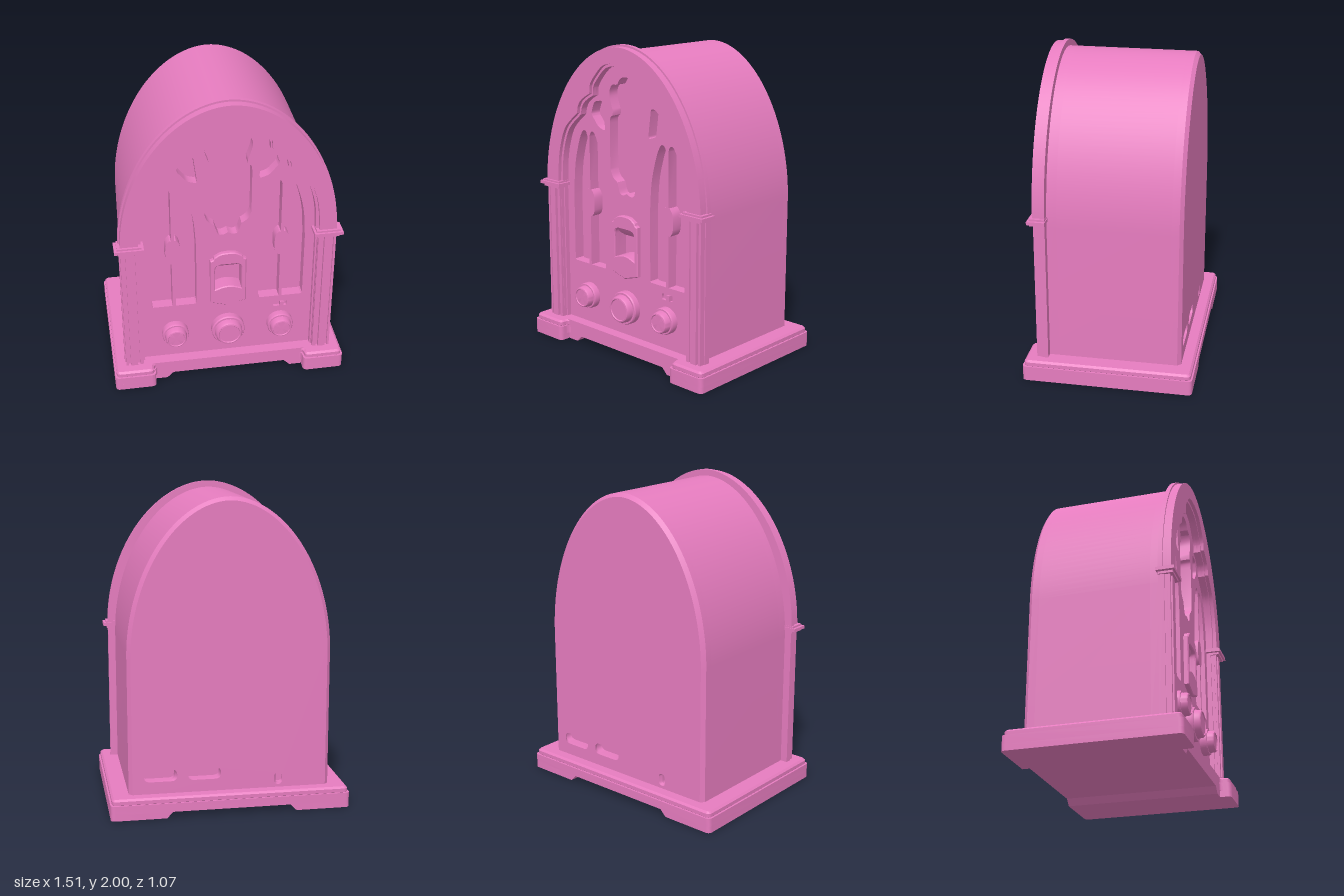
import * as THREE from 'three';
import { toCreasedNormals } from 'three/addons/utils/BufferGeometryUtils.js';

const material = new THREE.MeshStandardMaterial({ color: 0xe67cbf });
const V = (x, y) => new THREE.Vector2(x, y);
const pts = list => list.map(([x, y]) => V(x, y));
const mirror = list => list.map(p => V(-p.x, p.y));
// smooth run through a few points
const smooth = (list, n = 12) => new THREE.SplineCurve(pts(list)).getPoints(n);
// closes a right-hand half outline with its mirror image
const symmetric = half => [...half, ...mirror(half).reverse().filter(p => Math.abs(p.x) > 1e-4)];

// polygon with rounded corners
function rounded(list, r) {
  const p = pts(list), out = [];
  p.forEach((c, i) => {
    const a = p[(i + p.length - 1) % p.length], b = p[(i + 1) % p.length];
    const toward = q => c.clone().add(q.clone().sub(c).setLength(Math.min(r, q.distanceTo(c) * 0.48)));
    out.push(...new THREE.QuadraticBezierCurve(toward(a), c, toward(b)).getPoints(5));
  });
  return out;
}

export function createModel() {
  const root = new THREE.Group();
  const add = (name, geometry) => {
    const m = new THREE.Mesh(geometry, material);
    m.name = name;
    root.add(m);
    return m;
  };
  // outline extruded between two depths, optionally with chamfered edges
  const slab = (name, outline, z0, z1, holes = [], bevel = 0) => {
    const shape = new THREE.Shape(outline);
    shape.holes = holes.map(h => new THREE.Path(h));
    const g = new THREE.ExtrudeGeometry(shape, {
      depth: z1 - z0 - 2 * bevel, bevelEnabled: bevel > 0, bevelThickness: bevel,
      bevelSize: bevel, bevelOffset: -bevel, bevelSegments: 1
    });
    g.translate(0, 0, z0 + bevel);
    return add(name, toCreasedNormals(g, 0.5));
  };
  // floor-plan outline (x, -z) extruded upwards
  const plan = (name, outline, y0, y1, bevel = 0) =>
    slab(name, outline, y0, y1, [], bevel).geometry.rotateX(-Math.PI / 2);
  const box = (name, x0, x1, y0, y1, z0, z1) => {
    const g = new THREE.BoxGeometry(Math.abs(x1 - x0), y1 - y0, z1 - z0);
    add(name, g.translate((x0 + x1) / 2, (y0 + y1) / 2, (z0 + z1) / 2));
  };

  // tall arch from the right spring point over to the left one
  const arch = (w, spring, top, n = 72) => Array.from({ length: n + 1 }, (_, i) => {
    const a = Math.PI * i / n, c = Math.cos(a), e = 2 / 1.92;
    return V(w * Math.sign(c) * Math.abs(c) ** e, spring + (top - spring) * Math.abs(Math.sin(a)) ** e);
  });
  const cabinetOutline = [V(-0.635, 0.1), V(0.635, 0.1), ...arch(0.635, 1.0, 1.96)];

  // stepped base with projecting front feet
  const basePlan = d => rounded([
    [-0.755 + d, 0.535 - d], [-0.755 + d, -0.535 + d], [-0.49 - d, -0.535 + d], [-0.49 - d, -0.46],
    [0.49 + d, -0.46], [0.49 + d, -0.535 + d], [0.755 - d, -0.535 + d], [0.755 - d, 0.535 - d]
  ], 0.03);
  plan('baseSlab', basePlan(0), 0.04, 0.095);
  plan('baseUpperStep', basePlan(0.01), 0.085, 0.132, 0.012);
  box('baseFront', -0.505, 0.505, 0.04, 0.132, 0.3, 0.463);
  for (const s of [1, -1]) {
    plan('baseFoot', rounded([[s * 0.49, 0.535], [s * 0.755, 0.535], [s * 0.755, -0.535], [s * 0.49, -0.535]], 0.03), 0, 0.045);
    slab('baseFootSlope', pts([[s * 0.41, 0], [s * 0.53, 0], [s * 0.53, 0.045], [s * 0.365, 0.045]]), -0.535, 0.463);
  }

  // cabinet, with cable openings in its chamfered back
  const slot = (x0, x1, y0, y1) => rounded([[x0, y0], [x1, y0], [x1, y1], [x0, y1]], Math.min(x1 - x0, y1 - y0) / 2);
  const cableHoles = [slot(0.345, 0.56, 0.21, 0.285), slot(0.06, 0.275, 0.21, 0.285), slot(-0.345, -0.295, 0.15, 0.23)];
  slab('cabinet', cabinetOutline, -0.38, 0.32);
  slab('cabinetRear', cabinetOutline, -0.427, -0.38, cableHoles);
  const back = slab('backPlate', cabinetOutline, -0.45, -0.427, cableHoles);
  const pos = back.geometry.attributes.position;
  for (let i = 0; i < pos.count; i++) {
    if (pos.getZ(i) > -0.44) continue;
    pos.setXY(i, pos.getX(i) * 0.965, 0.1 + (pos.getY(i) - 0.1) * 0.988);
  }
  back.geometry = toCreasedNormals(back.geometry, 0.5);

  // grille openings in the front panel
  const centre = symmetric([
    ...smooth([[0, 1.8], [0.045, 1.79], [0.075, 1.75]], 6),
    ...smooth([[0.09, 1.745], [0.125, 1.74], [0.147, 1.69], [0.135, 1.63], [0.117, 1.58]], 12),
    ...smooth([[0.12, 1.55], [0.14, 1.535], [0.146, 1.5]], 5),
    ...smooth([[0.146, 1.21], [0.125, 1.16], [0.085, 1.13]], 6),
    ...smooth([[0.075, 1.1], [0.06, 1.062], [0.03, 1.055], [0, 1.07]], 8)
  ]);
  const outerSlot = [
    V(0.355, 0.535), V(0.482, 0.535), V(0.49, 0.543),
    ...smooth([[0.49, 0.98], [0.475, 1.18], [0.435, 1.34], [0.4, 1.415], [0.37, 1.42], [0.355, 1.39]], 18),
    V(0.355, 1.04), ...smooth([[0.365, 1.04], [0.39, 1.0], [0.39, 0.9], [0.365, 0.865]], 8), V(0.355, 0.865)
  ];
  const innerSlot = outerSlot.map(p => V(0.69 - p.x, p.y));
  const petal = rounded([[0.212, 1.635], [0.285, 1.62], [0.315, 1.54], [0.25, 1.462], [0.187, 1.443]], 0.022);
  const windowHole = [
    ...smooth([[-0.085, 0.65], [-0.04, 0.667], [0, 0.672], [0.04, 0.667], [0.085, 0.65]], 10),
    ...smooth([[0.085, 0.8], [0.078, 0.83], [0.05, 0.842]], 5),
    ...smooth([[-0.05, 0.842], [-0.078, 0.83], [-0.085, 0.8]], 5)
  ];
  const switchHole = rounded([[0.3, 0.45], [0.39, 0.45], [0.39, 0.49], [0.3, 0.49]], 0.008);
  const pairs = [outerSlot, innerSlot, petal];
  slab('frontPanel', cabinetOutline, 0.32, 0.39,
    [centre, ...pairs, ...pairs.map(mirror), windowHole, switchHole]);

  // arched frame with a stepped, scalloped inner edge
  const scallop = [
    ...smooth([[0.565, 1.05], [0.555, 1.22], [0.525, 1.35], [0.476, 1.45], [0.37, 1.545]], 16),
    ...smooth([[0.365, 1.58], [0.344, 1.62], [0.3, 1.655], [0.254, 1.68]], 8),
    ...smooth([[0.25, 1.73], [0.228, 1.77], [0.148, 1.855], [0.08, 1.882], [0, 1.89]], 12)
  ];
  const ring = (name, w, top, k, z0, z1) => {
    const inner = scallop.map(p => V(p.x * (1 - k), 1.05 + (p.y - 1.05) * (1 - k * 0.7)));
    slab(name, [...arch(w, 1.05, top), ...mirror(inner), ...inner.slice(0, -1).reverse()], z0, z1);
  };
  ring('frameBackLip', 0.685, 2.0, 0.03, 0.382, 0.41);
  ring('frameStep', 0.675, 1.988, 0.03, 0.41, 0.437);
  ring('frameFront', 0.675, 1.988, 0, 0.437, 0.46);

  // reeded side columns with capitals
  for (const s of [1, -1]) {
    box('columnBacking', s * 0.55, s * 0.682, 0.12, 1.04, 0.382, 0.42);
    box('columnSide', s * 0.56, s * 0.675, 0.12, 1.04, 0.41, 0.44);
    box('columnReed', s * 0.6, s * 0.645, 0.12, 1.04, 0.43, 0.461);
    for (const [a, b] of [[0.562, 0.585], [0.66, 0.675]]) box('columnEdge', s * a, s * b, 0.12, 1.04, 0.42, 0.455);
    box('capitalNeck', s * 0.55, s * 0.69, 1.025, 1.045, 0.382, 0.475);
    box('capital', s * 0.53, s * 0.712, 1.04, 1.06, 0.375, 0.488);
    box('capitalTop', s * 0.545, s * 0.695, 1.055, 1.072, 0.38, 0.475);
  }

  // tuning dial surround with a curved hood inside its window
  const plate = symmetric([
    ...smooth([[0, 0.93], [0.05, 0.924], [0.09, 0.9]], 8), V(0.095, 0.885), V(0.115, 0.875), V(0.115, 0.552), V(0, 0.518)
  ]);
  slab('dialPlate', plate, 0.38, 0.42, [windowHole], 0.006);
  const hood = [V(0.32, 0.85), V(0.32, 0.775), ...smooth([[0.325, 0.775], [0.36, 0.797], [0.385, 0.82], [0.405, 0.85]], 8)];
  slab('dialHood', hood.map(p => V(p.x, p.y)), -0.086, 0.086).geometry.rotateY(-Math.PI / 2);

  // control knobs on round collars
  const knob = (x, r) => {
    const profile = [[r, 0], [r, 0.04], [r * 0.95, 0.048], [r * 0.84, 0.048], [r * 0.82, 0.055], [r * 0.8, 0.078],
      [r * 0.74, 0.088], [r * 0.66, 0.09], [r * 0.62, 0.084], [0, 0.084]];
    const g = new THREE.LatheGeometry(pts(profile), 48).rotateX(Math.PI / 2);
    add('knob', toCreasedNormals(g, 0.5)).position.set(x, 0.325, 0.388);
  };
  knob(0, 0.108);
  knob(0.345, 0.085);
  knob(-0.345, 0.085);

  // small slide switch
  box('switchSlider', 0.345, 0.37, 0.452, 0.488, 0.32, 0.4);
  box('switchTrack', 0.3, 0.39, 0.45, 0.49, 0.32, 0.37);
  return root;
}
